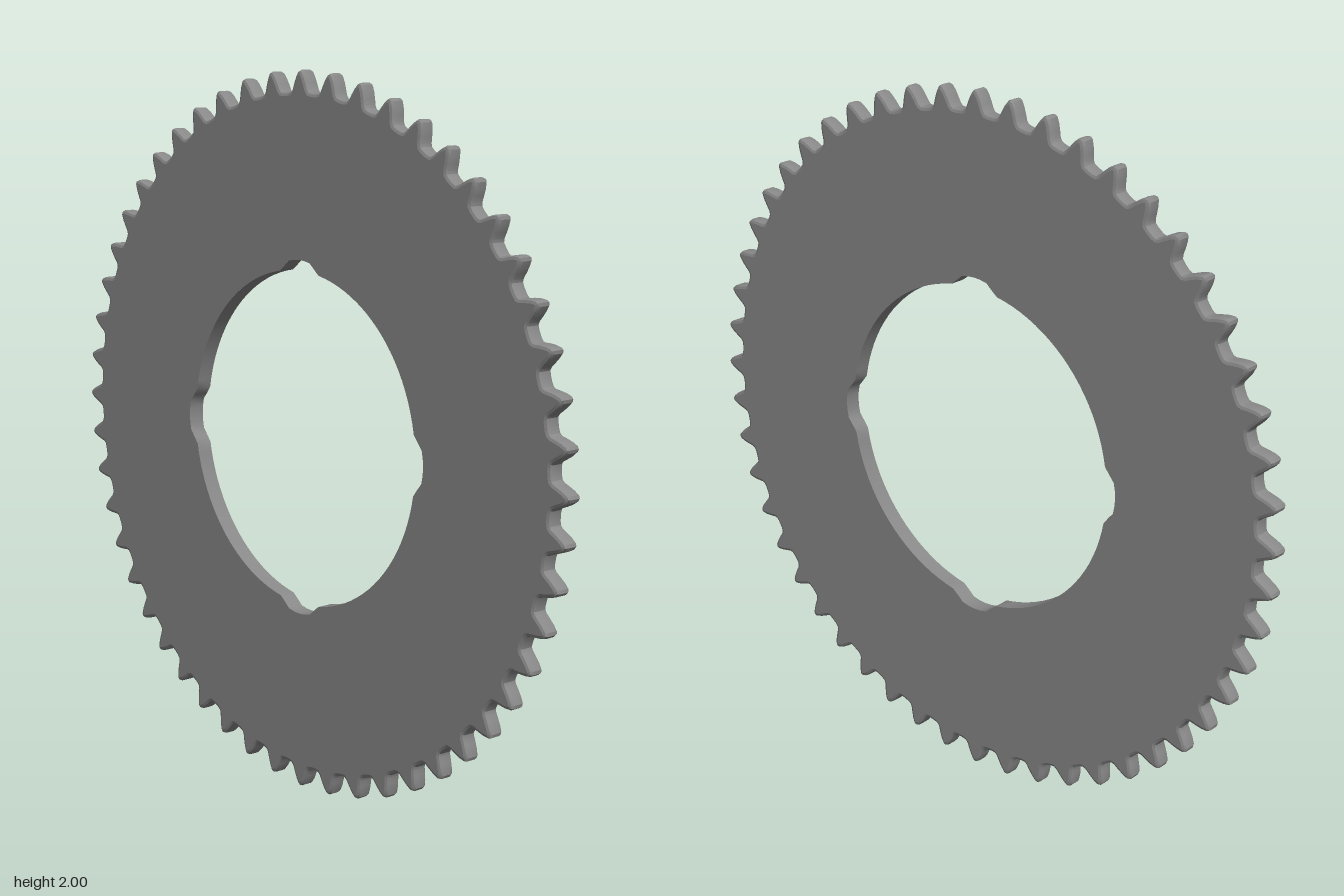
import * as THREE from 'three';
import { toCreasedNormals } from 'three/addons/utils/BufferGeometryUtils.js';

const TEETH = 52, HALF = 0.0235, BEVEL = 0.01;

const polar = (r, a) => new THREE.Vector2(r * Math.cos(a), r * Math.sin(a));

// Toothed outline, counter-clockwise: [fraction of tooth pitch, radius]
function toothOutline() {
  const half = [[0.07, 0.996], [0.15, 0.982], [0.22, 0.965], [0.28, 0.949], [0.33, 0.943], [0.42, 0.941]];
  const tooth = [
    ...half.map(([f, r]) => [-f, r]).reverse(), [0, 1], ...half,
  ];
  const pts = [];
  for (let i = 0; i < TEETH; i++)
    for (const [f, r] of tooth) pts.push(polar(r, ((i + f) / TEETH) * Math.PI * 2));
  return pts;
}

// Bore with four shallow notches, clockwise so that its wall faces inward
function boreOutline() {
  const notch = [[-0.175, 0.465], [-0.13, 0.477], [-0.09, 0.49], [-0.045, 0.493], [0, 0.494],
    [0.045, 0.493], [0.09, 0.49], [0.13, 0.477], [0.175, 0.465]];
  const pts = [], arcSteps = 20;
  for (let q = 0; q < 4; q++) {
    const a0 = q * Math.PI / 2;
    for (const [a, r] of notch) pts.push(polar(r, a0 + a));
    for (let i = 1; i < arcSteps; i++)
      pts.push(polar(0.465, a0 + 0.175 + (Math.PI / 2 - 0.35) * i / arcSteps));
  }
  return pts.reverse();
}

// Moves a counter-clockwise loop inward by d
function inset(loop, d) {
  const n = loop.length;
  return loop.map((p, i) => {
    const a = p.clone().sub(loop[(i + n - 1) % n]).normalize();
    const b = loop[(i + 1) % n].clone().sub(p).normalize();
    const m = new THREE.Vector2(-a.y - b.y, a.x + b.x).normalize();
    const miter = Math.max(0.6, m.dot(new THREE.Vector2(-a.y, a.x)));
    return p.clone().addScaledVector(m, d / miter);
  });
}

// Skins a stack of equal loops, ordered from back to front
function wall(sections) {
  const n = sections[0].loop.length, pos = [], index = [];
  sections.forEach(({ loop, z }) => loop.forEach(p => pos.push(p.x, p.y, z)));
  for (let j = 0; j < sections.length - 1; j++)
    for (let i = 0; i < n; i++) {
      const a = j * n + i, b = j * n + (i + 1) % n;
      index.push(a, b, b + n, a, b + n, a + n);
    }
  const g = new THREE.BufferGeometry();
  g.setAttribute('position', new THREE.Float32BufferAttribute(pos, 3));
  g.setIndex(index);
  return toCreasedNormals(g, 0.5);
}

export function createModel() {
  const group = new THREE.Group();
  group.name = 'gearRing';
  const material = new THREE.MeshStandardMaterial({ color: 0x888888 });
  const add = (name, geometry) => {
    const mesh = new THREE.Mesh(geometry, material);
    mesh.name = name;
    mesh.position.y = 1;
    group.add(mesh);
    return mesh;
  };

  const outer = toothOutline(), bore = boreOutline();

  // Toothed rim with bevelled edges on both sides
  const steps = 2, front = [];
  for (let i = 0; i <= steps; i++) {
    const t = (i / steps) * Math.PI / 2;
    front.push({
      loop: inset(outer, BEVEL * (1 - Math.cos(t))),
      z: HALF - BEVEL + BEVEL * Math.sin(t),
    });
  }
  const back = front.map(s => ({ loop: s.loop, z: -s.z })).reverse();
  add('toothedRim', wall([...back, ...front]));

  // Straight, sharp-edged bore
  add('boreWall', wall([{ loop: bore, z: -HALF }, { loop: bore, z: HALF }]));

  // Flat faces
  const shape = new THREE.Shape(front[steps].loop);
  shape.holes.push(new THREE.Path(bore));
  const face = new THREE.ShapeGeometry(shape);
  add('frontFace', face).position.z = HALF;
  add('backFace', face.clone().rotateY(Math.PI)).position.z = -HALF;

  return group;
}
